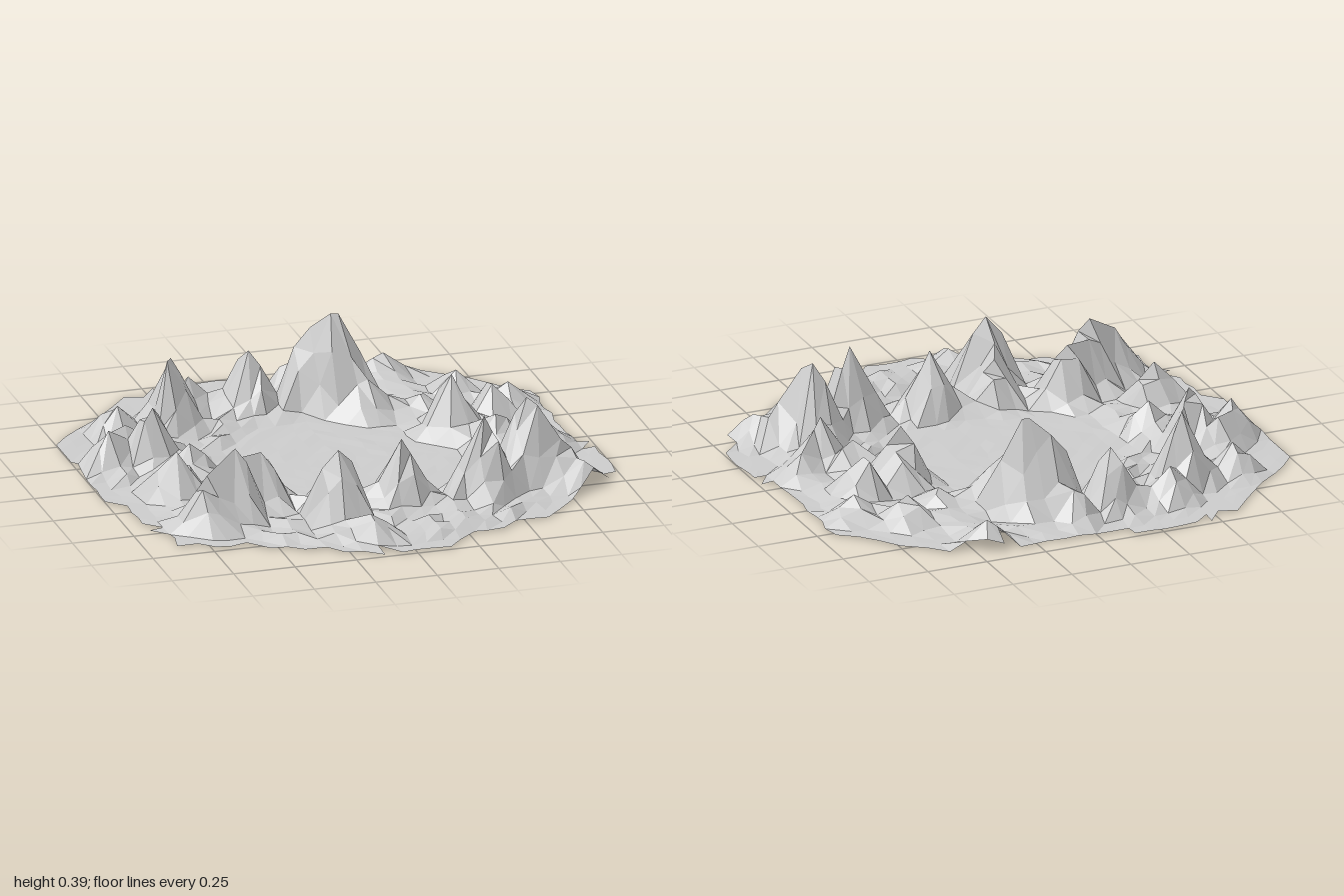
import * as THREE from 'three';

// Corners of the rim: x, z
const RIM = [
  [-0.24, -1], [-0.04, -0.92], [0.42, -0.9], [0.66, -0.82], [0.79, -0.67], [0.94, -0.5],
  [0.95, -0.3], [0.94, 0.05], [1.01, 0.2], [1.01, 0.4], [0.68, 0.72], [0.52, 0.8], [0.25, 0.88],
  [0.12, 0.98], [-0.18, 0.95], [-0.38, 0.85], [-0.65, 0.73], [-0.86, 0.64], [-0.93, 0.3],
  [-1.01, 0], [-1.01, -0.5], [-0.6, -0.91],
];

// Rocks: tip x, tip z, height
const BACK_ROCKS = [
  [0.07, -0.64, 0.32], [0.17, -0.59, 0.385], [0.25, -0.46, 0.15], [0.45, -0.42, 0.08], [-0.17, -0.67, 0.24],
  [-0.52, -0.56, 0.29], [-0.4, -0.72, 0.14], [0.03, -0.77, 0.13], [0.43, -0.84, 0.1], [0.63, -0.53, 0.12],
  [-0.74, -0.55, 0.12],
];
const SIDE_ROCKS = [
  [0.5, -0.17, 0.25], [0.68, -0.22, 0.17], [0.8, -0.4, 0.1], [0.62, 0.02, 0.14], [0.7, 0.15, 0.2],
  [0.82, 0.06, 0.1], [0.64, 0.36, 0.335], [0.76, 0.42, 0.17], [0.83, 0.5, 0.1], [-0.88, -0.22, 0.155],
  [-0.7, -0.22, 0.23], [-0.78, -0.32, 0.13], [-0.6, -0.06, 0.13], [-0.72, 0.16, 0.19],
];
const FRONT_ROCKS = [
  [-0.44, 0.36, 0.23], [-0.57, 0.44, 0.29], [-0.7, 0.49, 0.21], [-0.2, 0.6, 0.3], [-0.17, 0.45, 0.18],
  [-0.13, 0.8, 0.1], [0.1, 0.46, 0.26], [0.43, 0.48, 0.325],
];
const ROCKS = [...BACK_ROCKS, ...SIDE_ROCKS, ...FRONT_ROCKS];

const FLOOR = 0.018;
const CELLS = 30;
const DEPTH = 0.98;

function seeded(seed) {
  return () => {
    seed = (seed * 16807) % 2147483647;
    return seed / 2147483647;
  };
}

function insideRim(x, z) {
  let inside = false;
  RIM.forEach(([ax, az], i) => {
    const [bx, bz] = RIM[(i + 1) % RIM.length];
    if ((az > z) !== (bz > z) && x < ax + ((z - az) / (bz - az)) * (bx - ax)) inside = !inside;
  });
  return inside;
}

function craterGeometry() {
  const random = seeded(4711);
  const row = CELLS + 1;

  // Square grid with slightly scattered points
  const points = [];
  for (let j = 0; j < row; j++) {
    for (let i = 0; i < row; i++) {
      const x = (i / CELLS) * 2 - 1 + (random() - 0.5) * 0.024;
      const z = ((j / CELLS) * 2 - 1) * DEPTH + (random() - 0.5) * 0.024;
      points.push(new THREE.Vector3(THREE.MathUtils.clamp(x, -1, 1), FLOOR, z));
    }
  }

  // Keep the triangles inside the rim, which leaves a stepped edge
  const index = [];
  const addTriangle = (...corners) => {
    const x = corners.reduce((sum, c) => sum + points[c].x, 0) / 3;
    const z = corners.reduce((sum, c) => sum + points[c].z, 0) / 3;
    if (insideRim(x, z)) index.push(...corners);
  };
  for (let j = 0; j < CELLS; j++) {
    for (let i = 0; i < CELLS; i++) {
      const a = j * row + i, b = a + 1, c = a + row, d = c + 1;
      // Diagonals run along the rim so that its corners are bevelled
      if ((i < CELLS / 2) === (j < CELLS / 2)) {
        addTriangle(a, c, b);
        addTriangle(b, c, d);
      } else {
        addTriangle(a, c, d);
        addTriangle(a, d, b);
      }
    }
  }

  // Place one vertex exactly on each rock tip
  const tips = new Set();
  for (const [x, z] of ROCKS) {
    let best = 0, bestDistance = Infinity;
    points.forEach((p, i) => {
      const d = Math.hypot(p.x - x, p.z - z);
      if (d < bestDistance && !tips.has(i)) {
        best = i;
        bestDistance = d;
      }
    });
    points[best].set(x, FLOOR, z);
    tips.add(best);
  }

  // Raise steep, uneven rocks; the ground between them is low rubble
  points.forEach((p, i) => {
    let height = 0;
    for (const [x, z, h] of ROCKS) {
      const k = Math.max(0, 1 - Math.hypot(p.x - x, p.z - z) / (0.11 + 0.12 * h));
      const rough = tips.has(i) ? 1 : 0.9 + 0.5 * random();
      height = Math.max(height, Math.min(h, h * k * rough));
    }
    const radius = Math.hypot(p.x, p.z);
    const rubble = radius > 0.5 && radius < 0.88 ? 0.035 * random() : 0.006 * (random() - 0.5);
    const hollow = 0.03 * Math.max(0, 1 - Math.hypot(p.x - 0.16, p.z + 0.84) / 0.09);
    p.y = Math.max(0, FLOOR + Math.max(height, rubble) - hollow);
  });

  const geometry = new THREE.BufferGeometry().setFromPoints(points);
  geometry.setIndex(index);
  // Separate faces also drop the grid points outside the rim
  const faces = geometry.toNonIndexed();
  faces.computeVertexNormals();
  return faces;
}

export function createModel() {
  const group = new THREE.Group();
  group.name = 'rockyCrater';
  const material = new THREE.MeshStandardMaterial({
    color: 0xcccccc, flatShading: true, side: THREE.DoubleSide,
  });
  const ground = new THREE.Mesh(craterGeometry(), material);
  ground.name = 'craterGround';
  group.add(ground);
  return group;
}
